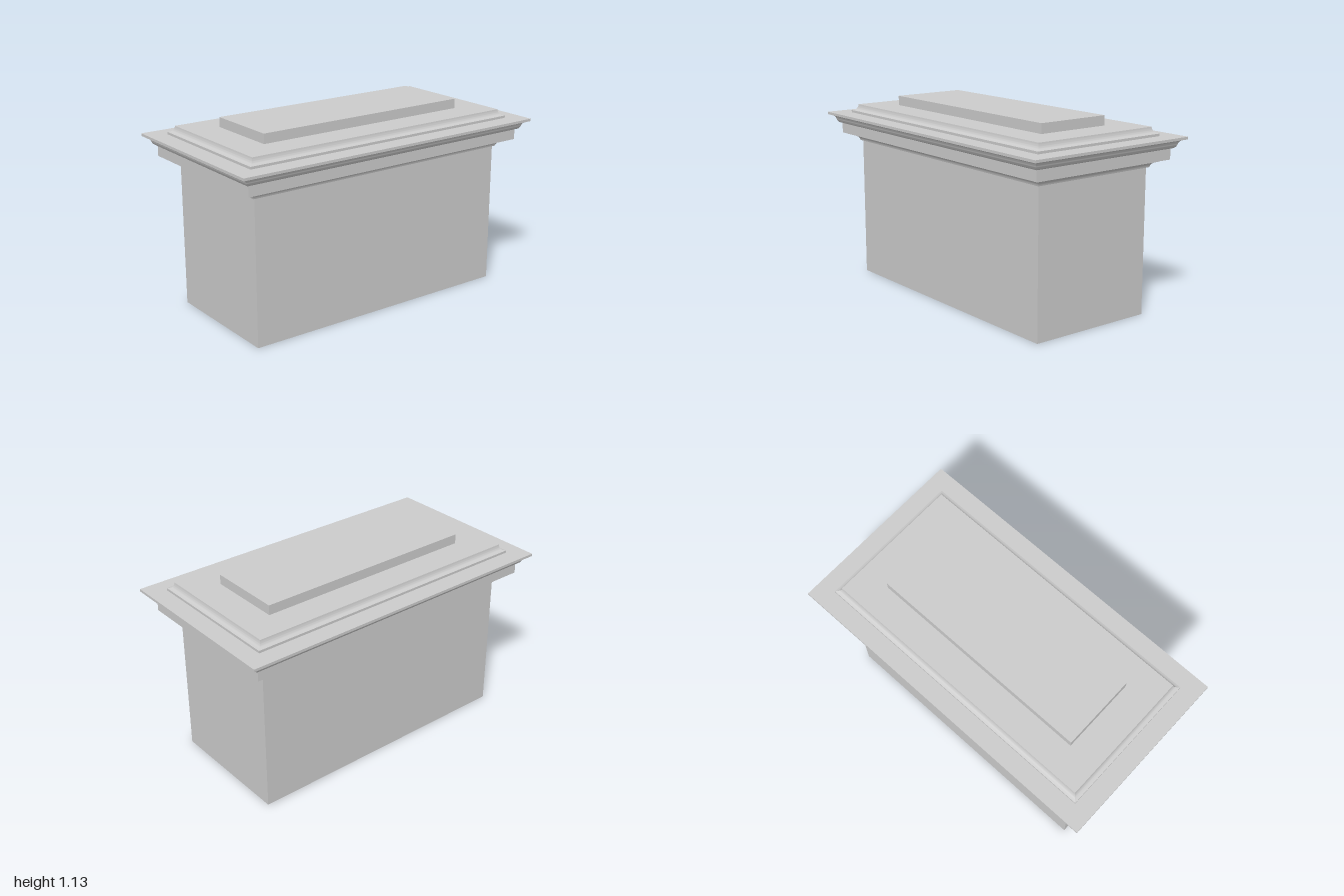
import * as THREE from 'three';
import { mergeGeometries, toCreasedNormals } from 'three/addons/utils/BufferGeometryUtils.js';

const DEPTH_EXTRA = 0.46; // every moulding is this much deeper than it is wide (half sizes)
const CORNERS = [[1, 1], [1, -1], [-1, -1], [-1, 1]];

function surface(positions) {
  const g = new THREE.BufferGeometry();
  g.setAttribute('position', new THREE.Float32BufferAttribute(positions, 3));
  g.computeVertexNormals();
  return g;
}

// Sweeps a profile of (half width, height) points, listed upwards, round a
// rectangle with mitred corners, and closes it above and below.
function mouldingGeometry(profile) {
  const at = (p, [sx, sz]) => [sx * p.x, p.y, sz * (p.x + DEPTH_EXTRA)];
  const parts = [];
  for (let s = 0; s < 4; s++) {
    const c0 = CORNERS[s], c1 = CORNERS[(s + 1) % 4];
    const pos = [];
    for (let i = 0; i < profile.length - 1; i++) {
      const lo = profile[i], hi = profile[i + 1];
      const a = at(lo, c0), b = at(lo, c1), c = at(hi, c1), d = at(hi, c0);
      pos.push(...a, ...b, ...c, ...a, ...c, ...d);
    }
    parts.push(toCreasedNormals(surface(pos), 0.6));
  }
  const [t0, t1, t2, t3] = CORNERS.map((c) => at(profile[profile.length - 1], c));
  const [b0, b1, b2, b3] = CORNERS.map((c) => at(profile[0], c));
  parts.push(surface([...t0, ...t1, ...t2, ...t0, ...t2, ...t3]));
  parts.push(surface([...b0, ...b2, ...b1, ...b0, ...b3, ...b2]));
  return mergeGeometries(parts);
}

// Samples a cubic curve given as four [half width, height] points.
function curve(...pts) {
  return new THREE.CubicBezierCurve(...pts.map(([x, y]) => new THREE.Vector2(x, y))).getPoints(10);
}
const v = (x, y) => new THREE.Vector2(x, y);

export function createModel() {
  const group = new THREE.Group();
  const material = new THREE.MeshStandardMaterial({ color: 0xcccccc });
  const add = (name, geometry, y = 0) => {
    const mesh = new THREE.Mesh(geometry, material);
    mesh.name = name;
    mesh.position.y = y;
    group.add(mesh);
  };
  const addBlock = (name, w, d, y0, y1) =>
    add(name, new THREE.BoxGeometry(w, y1 - y0, d), (y0 + y1) / 2);

  addBlock('shaft', 0.768, 1.688, 0, 0.846);

  // hollow moulding under the frieze
  add('neckMoulding', mouldingGeometry([
    ...curve([0.396, 0.845], [0.4, 0.862], [0.409, 0.873], [0.43, 0.877]),
    v(0.434, 0.877), v(0.434, 0.89),
  ]));

  addBlock('frieze', 0.95, 1.87, 0.89, 0.952);

  // S-shaped cornice: rounded below, hollow above, thin lip on top
  add('cornice', mouldingGeometry([
    v(0.475, 0.952),
    ...curve([0.479, 0.952], [0.493, 0.954], [0.498, 0.965], [0.502, 0.977]),
    ...curve([0.502, 0.977], [0.506, 0.99], [0.514, 1.0], [0.534, 1.002]).slice(1),
    v(0.54, 1.003), v(0.54, 1.018),
  ]));

  // stepped cap with a hollow edge
  add('capMoulding', mouldingGeometry([
    v(0.432, 1.018), v(0.432, 1.032),
    ...curve([0.427, 1.033], [0.41, 1.036], [0.403, 1.048], [0.4, 1.069]),
  ]));

  addBlock('topBlock', 0.45, 1.35, 1.069, 1.126);
  return group;
}
